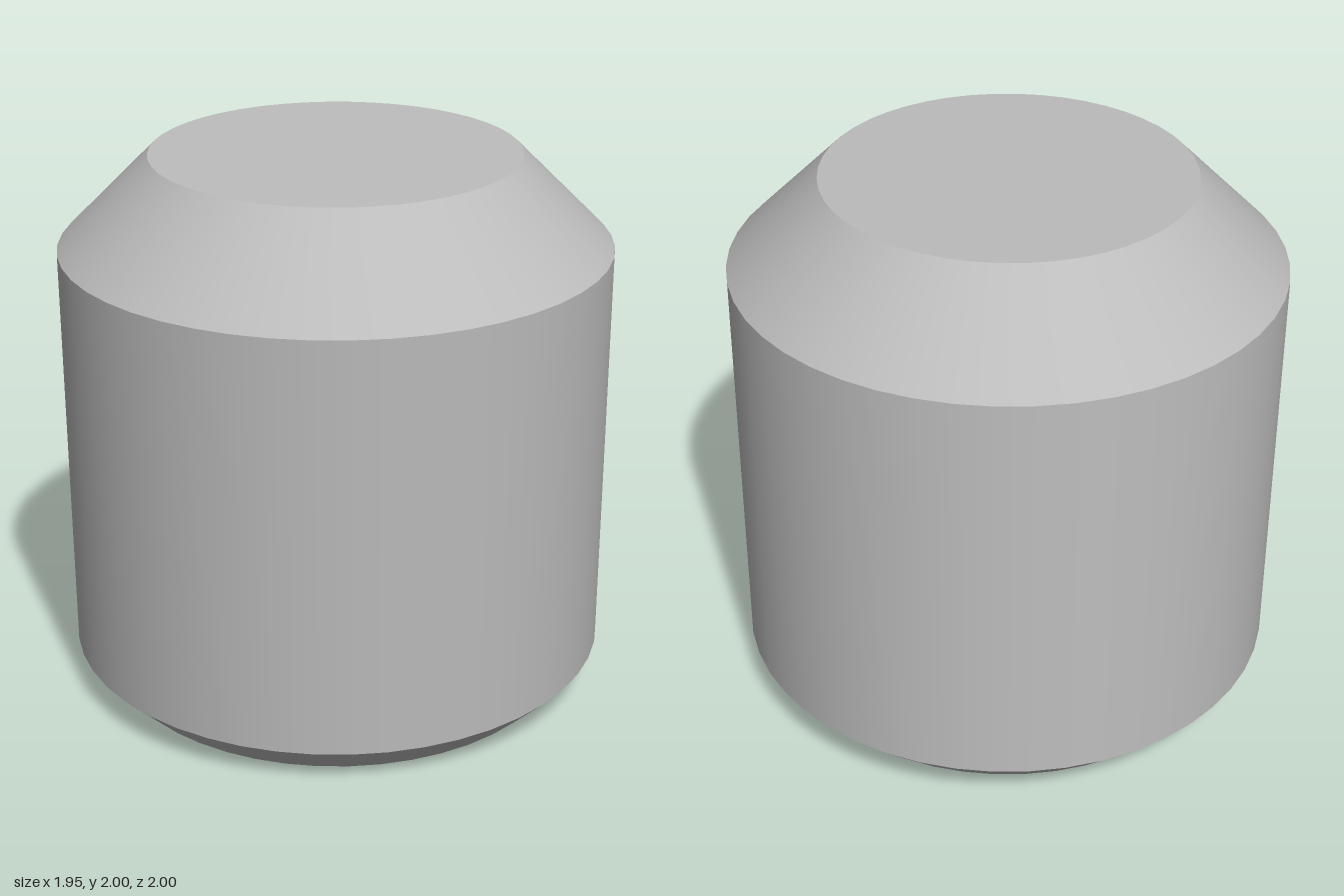
import * as THREE from 'three';

const SIDES = 48;

export function createModel() {
  const steel = new THREE.MeshStandardMaterial({ color: 0xbcbcbc });
  steel.name = 'grey steel';
  const model = new THREE.Group();
  model.name = 'setScrew';
  const add = (name, geometry) => {
    const mesh = new THREE.Mesh(geometry, steel);
    mesh.name = name;
    model.add(mesh);
  };

  // Outer wall: straight body with a chamfer at each end [name, y0, r0, y1, r1]
  for (const [name, y0, r0, y1, r1] of [
    ['bottomChamfer', 0, 0.845, 0.13, 0.975],
    ['body', 0.13, 0.975, 1.627, 0.975],
    ['topChamfer', 1.627, 0.975, 1.952, 0.65],
  ]) {
    const wall = new THREE.CylinderGeometry(r1, r0, y1 - y0, SIDES, 1, true);
    add(name, wall.translate(0, (y0 + y1) / 2, 0));
  }

  // Flat top
  add('topFace', new THREE.CircleGeometry(0.65, SIDES).rotateX(-Math.PI / 2).translate(0, 1.952, 0));

  // Six-pointed star outline in x and z
  const star = [];
  for (let i = 0; i < 12; i++) {
    const a = Math.PI - 0.3 + (i * Math.PI) / 6;
    const r = i % 2 ? 0.368 : 0.565;
    star.push(new THREE.Vector2(r * Math.cos(a), r * Math.sin(a)));
  }

  // Bottom face with the star opening
  const disc = new THREE.Shape().absarc(0, 0, 0.845, 0, Math.PI * 2, false);
  disc.holes.push(new THREE.Path(star));
  add('bottomFace', new THREE.ShapeGeometry(disc, SIDES / 2).rotateX(Math.PI / 2));

  // Socket walls face inwards, closed by a star-shaped floor
  const depth = 0.8;
  const corners = [];
  star.forEach((p, i) => {
    const q = star[(i + 1) % star.length];
    corners.push(p.x, 0, p.y, q.x, 0, q.y, q.x, depth, q.y);
    corners.push(p.x, 0, p.y, q.x, depth, q.y, p.x, depth, p.y);
  });
  const walls = new THREE.BufferGeometry();
  walls.setAttribute('position', new THREE.Float32BufferAttribute(corners, 3));
  walls.computeVertexNormals();
  add('socketWalls', walls);
  const floor = new THREE.ShapeGeometry(new THREE.Shape(star));
  add('socketFloor', floor.rotateX(Math.PI / 2).translate(0, depth, 0));

  // The whole screw leans slightly forwards
  model.rotation.x = 0.035;
  model.position.set(0, 0.03, -0.031);
  return model;
}
